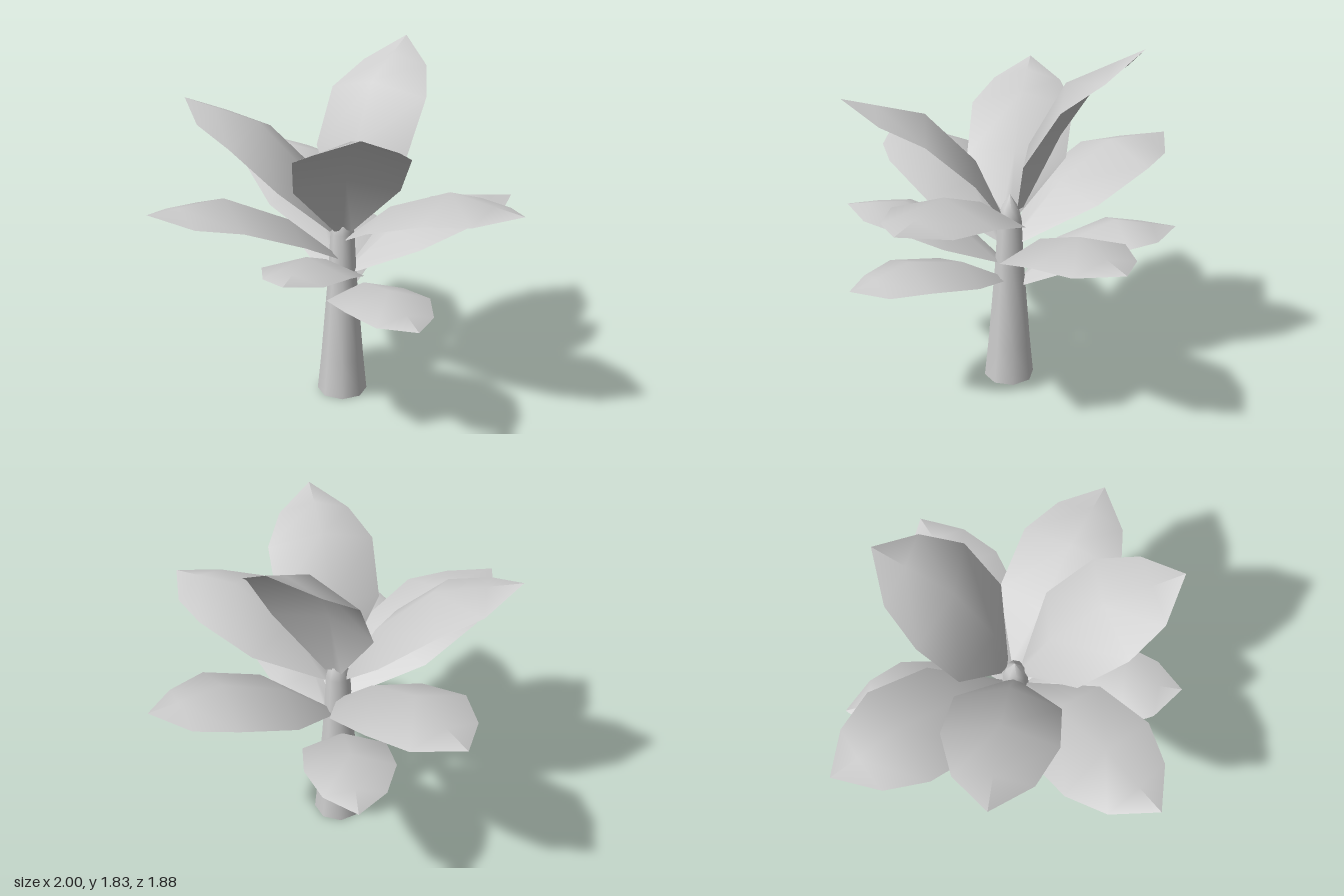
import * as THREE from 'three';

const CX = -0.01, CZ = -0.063; // stem axis

// Leaf rows: [position along the midrib, half width, droop of the edges]
const ROWS = [[0, 0.045, 0.015], [0.26, 0.26, 0.075], [0.6, 0.272, 0.095], [0.84, 0.183, 0.055], [1, 0, 0]];
const KNEE = 0.6; // the blade is straight from here to the tip

// name, azimuth (degrees, x towards z), base height, knee [r, y], tip [r, y], width scale
const LEAVES = [
  ['lowerLeaf', -135, 0.545, [0.56, 0.86], [0.89, 0.8], 0.8],
  ['lowerLeaf', 23, 0.59, [0.57, 0.805], [0.89, 0.73], 0.8],
  ['lowerLeaf', 63, 0.68, [0.55, 0.97], [0.85, 0.94], 0.8],
  ['middleLeaf', -65, 0.7, [0.61, 1.04], [0.98, 1.0], 0.95],
  ['middleLeaf', -160, 0.79, [0.66, 1.21], [1.05, 1.18], 1],
  ['middleLeaf', 105, 0.79, [0.65, 1.19], [1.03, 1.17], 1],
  ['middleLeaf', -7, 0.89, [0.63, 1.24], [1.02, 1.2], 1],
  ['upperLeaf', 153, 0.92, [0.45, 1.45], [0.86, 1.55], 1],
  ['upperLeaf', 40, 0.93, [0.42, 1.49], [0.81, 1.59], 1],
  ['upperLeaf', -103, 0.96, [0.28, 1.64], [0.65, 1.83], 1.03],
];

// Thin arched blade built along a bent midrib, pointing along +x
function leafGeometry(baseY, knee, tip, scale) {
  const p0 = new THREE.Vector2(0.04, baseY);
  const pk = new THREE.Vector2(...knee);
  const p2 = new THREE.Vector2(...tip);
  // control point that makes the curve pass through the knee
  const p1 = pk.clone().addScaledVector(p0, -((1 - KNEE) ** 2)).addScaledVector(p2, -(KNEE ** 2))
    .divideScalar(2 * KNEE * (1 - KNEE));
  const rib = new THREE.QuadraticBezierCurve(p0, p1, p2);
  const pos = [], index = [];
  ROWS.forEach(([t, half, droop], i) => {
    const p = t <= KNEE ? rib.getPoint(t) : pk.clone().lerp(p2, (t - KNEE) / (1 - KNEE));
    const d = rib.getTangent(t);
    const ex = p.x + d.y * droop * scale, ey = p.y - d.x * droop * scale;
    pos.push(ex, ey, -half * scale, p.x, p.y, 0, ex, ey, half * scale);
    if (i === 0) return;
    for (let j = 0; j < 2; j++) {
      const a = (i - 1) * 3 + j, b = a + 3;
      index.push(a, a + 1, b + 1);
      if (i < ROWS.length - 1) index.push(a, b + 1, b); // the last row closes to a point
    }
  });
  const g = new THREE.BufferGeometry();
  g.setAttribute('position', new THREE.Float32BufferAttribute(pos, 3));
  g.setIndex(index);
  g.computeVertexNormals();
  return g;
}

export function createModel() {
  const group = new THREE.Group();
  group.name = 'plant';
  const stemMaterial = new THREE.MeshStandardMaterial({ color: 0xcccccc });
  const leafMaterial = new THREE.MeshStandardMaterial({ color: 0xcccccc, side: THREE.DoubleSide });

  // Tapering eight-sided stem with a pointed bud on top
  const profile = [[0.133, 0], [0.113, 0.2], [0.076, 0.65], [0.062, 0.9], [0.045, 0.97], [0, 1.04]];
  const stem = new THREE.Mesh(
    new THREE.LatheGeometry(profile.map(([r, y]) => new THREE.Vector2(r, y)), 8), stemMaterial);
  stem.name = 'stem';
  stem.position.set(CX, 0, CZ);
  group.add(stem);

  // Flat underside of the stem
  const base = new THREE.Mesh(new THREE.CircleGeometry(0.133, 8).rotateX(Math.PI / 2), stemMaterial);
  base.name = 'stemBase';
  base.position.set(CX, 0, CZ);
  group.add(base);

  // Leaves around the stem, from lowest to highest
  for (const [name, azimuth, baseY, knee, tip, scale] of LEAVES) {
    const leaf = new THREE.Mesh(leafGeometry(baseY, knee, tip, scale), leafMaterial);
    leaf.name = name;
    leaf.position.set(CX, 0, CZ);
    leaf.rotation.y = -THREE.MathUtils.degToRad(azimuth);
    group.add(leaf);
  }
  return group;
}
